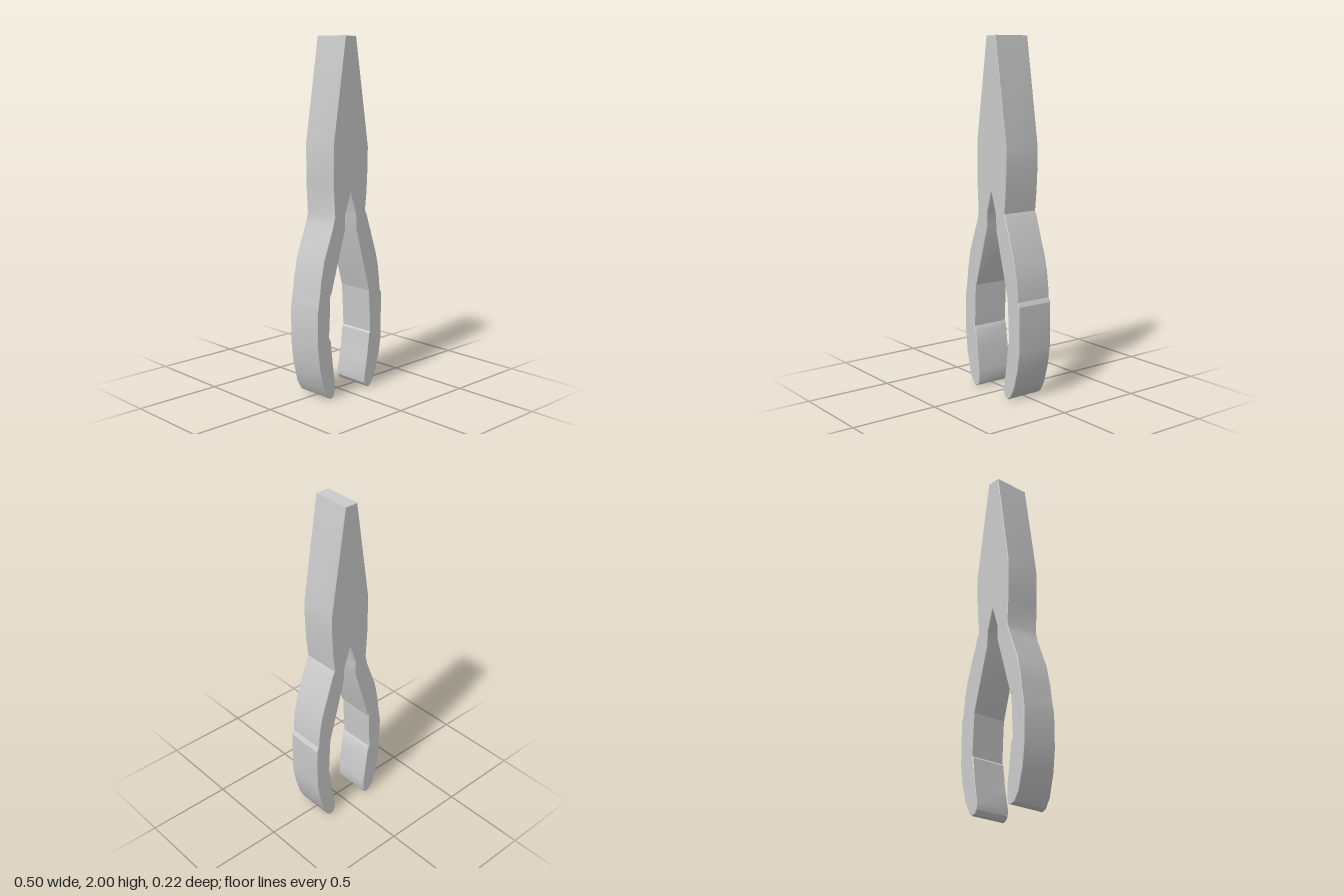
import * as THREE from 'three';
import { toCreasedNormals } from 'three/addons/utils/BufferGeometryUtils.js';

const DEPTH = 0.221;
const BEVEL = 0.003;

// Extrudes an outline through the tool's thickness, with a fine edge break
function plate(name, outline, material) {
  const shape = new THREE.Shape(outline.map(([x, y]) => new THREE.Vector2(x, y)));
  const geometry = new THREE.ExtrudeGeometry(shape, {
    depth: DEPTH - 2 * BEVEL,
    bevelEnabled: true,
    bevelThickness: BEVEL,
    bevelSize: BEVEL,
    bevelOffset: -BEVEL,
    bevelSegments: 1,
  });
  geometry.translate(0, 0, BEVEL - DEPTH / 2);
  const mesh = new THREE.Mesh(toCreasedNormals(geometry, Math.PI / 7), material);
  mesh.name = name;
  return mesh;
}

export function createModel() {
  const group = new THREE.Group();
  group.name = 'pliers';
  const grey = new THREE.MeshStandardMaterial({ color: 0xcccccc });

  // Tapered jaws, pivot area and the two arms down to the grips
  group.add(plate('jawsAndArms', [
    [0.04, 2], [-0.04, 2],
    [-0.13, 1.42], [-0.13, 1.2], [-0.12, 1.03], [-0.135, 0.97],
    [-0.2, 0.8], [-0.225, 0.68], [-0.235, 0.6],
    [-0.145, 0.6], [-0.04, 0.95], [-0.04, 1.03],
    [0, 1.155],
    [0.04, 1.03], [0.045, 0.94], [0.145, 0.575],
    [0.237, 0.565], [0.234, 0.62], [0.222, 0.71], [0.203, 0.79],
    [0.13, 1.01], [0.115, 1.04], [0.127, 1.15], [0.135, 1.3], [0.135, 1.4],
  ], grey));

  // Left grip, with a finger step on the inside and a rounded end
  group.add(plate('leftGrip', [
    [0.145, 0.58], [0.15, 0.5], [0.158, 0.33], [0.15, 0.32],
    [0.135, 0.19], [0.112, 0.065], [0.115, 0.03], [0.13, 0.008], [0.15, 0.002],
    [0.175, 0.022], [0.205, 0.08], [0.235, 0.19],
    [0.25, 0.29], [0.25, 0.545], [0.237, 0.57],
  ], grey));

  // Right grip
  group.add(plate('rightGrip', [
    [-0.152, 0.605], [-0.235, 0.605], [-0.238, 0.585],
    [-0.25, 0.51], [-0.25, 0.32], [-0.235, 0.19],
    [-0.205, 0.065], [-0.175, 0.014], [-0.15, 0.002], [-0.128, 0.012],
    [-0.12, 0.035], [-0.12, 0.1], [-0.135, 0.21], [-0.15, 0.335],
    [-0.162, 0.355], [-0.155, 0.5],
  ], grey));

  return group;
}
